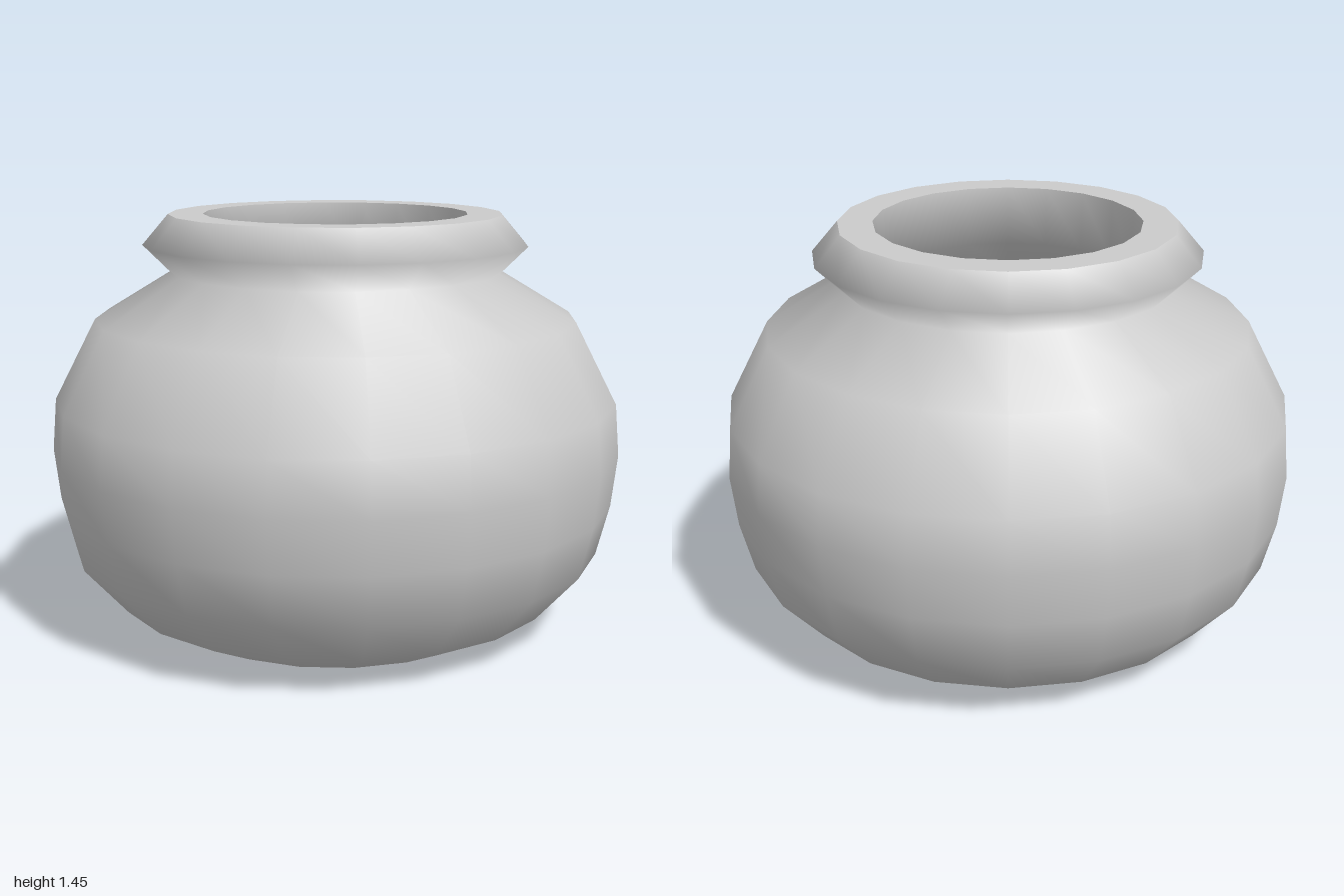
import * as THREE from 'three';

const SIDES = 20;

export function createModel() {
  const pot = new THREE.Group();
  pot.name = 'pot';
  const material = new THREE.MeshStandardMaterial({ color: 0xcccccc });

  // Each band is smooth in itself; separate bands meet in a sharp edge.
  // Profiles run from the base up the outside, over the rim and down inside.
  const addBand = (name, profile) => {
    const points = profile.map(([r, y]) => new THREE.Vector2(r, y));
    const mesh = new THREE.Mesh(new THREE.LatheGeometry(points, SIDES), material);
    mesh.name = name;
    pot.add(mesh);
  };

  addBand('base', [[0, 0], [0.58, 0]]);

  // Rounded belly, pinched neck and flared lip
  addBand('outerWall', [
    [0.58, 0], [0.785, 0.1], [0.935, 0.27], [0.98, 0.45], [1, 0.63],
    [0.985, 0.81], [0.84, 1.09], [0.575, 1.25], [0.67, 1.345], [0.58, 1.45],
  ]);

  addBand('rim', [[0.58, 1.45], [0.46, 1.45]]);

  // Straight throat opening into the hollow belly
  addBand('innerWall', [
    [0.46, 1.45], [0.455, 1.24], [0.76, 1.03], [0.89, 0.79], [0.9, 0.63],
    [0.885, 0.46], [0.85, 0.31], [0.72, 0.17], [0.55, 0.09],
  ]);

  addBand('innerFloor', [[0.55, 0.09], [0, 0.09]]);

  return pot;
}
